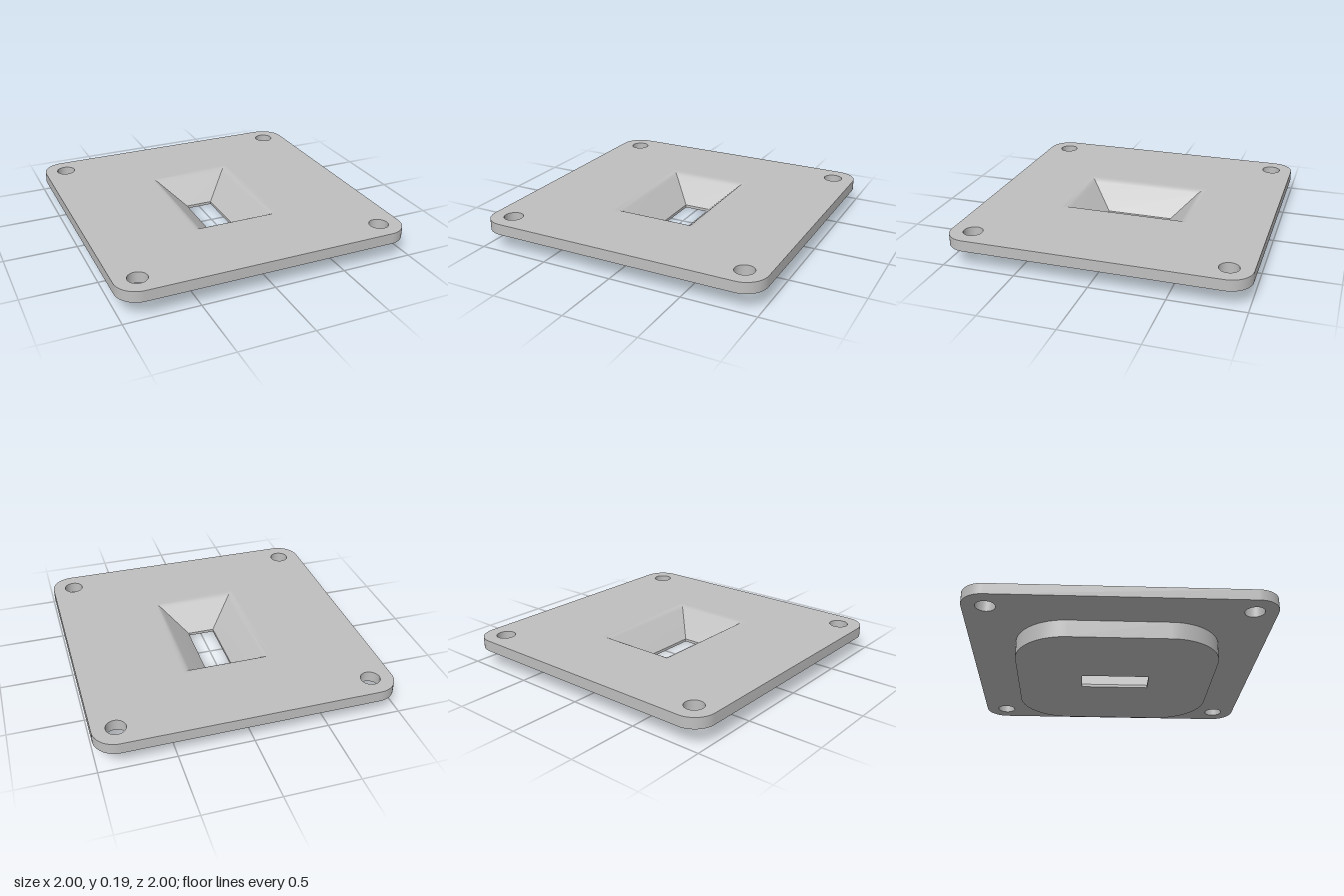
import * as THREE from 'three';
import { toCreasedNormals } from 'three/addons/utils/BufferGeometryUtils.js';

const BOSS_TOP = 0.12, PLATE_TOP = 0.195;

// Counter-clockwise outline of a rectangle with rounded corners
function roundedRect(hw, hd, r = 0, n = 12) {
  const pts = [], steps = r > 0 ? n : 0;
  const signs = [[1, 1], [-1, 1], [-1, -1], [1, -1]];
  signs.forEach(([sx, sy], q) => {
    for (let i = 0; i <= steps; i++) {
      const a = (q + (steps ? i / steps : 0)) * Math.PI / 2;
      pts.push(new THREE.Vector2(sx * (hw - r) + r * Math.cos(a), sy * (hd - r) + r * Math.sin(a)));
    }
  });
  return pts;
}

function circle(cx, cy, r, n = 32) {
  return Array.from({ length: n }, (_, i) => {
    const a = i / n * Math.PI * 2;
    return new THREE.Vector2(cx + r * Math.cos(a), cy + r * Math.sin(a));
  });
}

// Band of quads through stacked outlines: rising faces outward, falling faces inward
function wall(sections) {
  const pos = [];
  const at = (s, i) => {
    const p = s.outline[i % s.outline.length];
    return [p.x, s.y, -p.y];
  };
  for (let k = 0; k + 1 < sections.length; k++) {
    const s = sections[k], t = sections[k + 1];
    for (let i = 0; i < s.outline.length; i++) {
      pos.push(...at(s, i), ...at(s, i + 1), ...at(t, i + 1));
      pos.push(...at(s, i), ...at(t, i + 1), ...at(t, i));
    }
  }
  const g = new THREE.BufferGeometry();
  g.setAttribute('position', new THREE.Float32BufferAttribute(pos, 3));
  return toCreasedNormals(g, Math.PI / 6);
}

// Flat horizontal face with holes, facing up or down
function face(outline, holes, y, up) {
  const shape = new THREE.Shape(outline);
  shape.holes = holes.map(h => new THREE.Path(h));
  return new THREE.ShapeGeometry(shape).rotateX(up ? -Math.PI / 2 : Math.PI / 2).translate(0, y, 0);
}

export function createModel() {
  const group = new THREE.Group();
  const grey = new THREE.MeshStandardMaterial({ color: 0xbfbfbf });
  grey.name = 'light grey';
  const add = (name, geometry) => {
    const mesh = new THREE.Mesh(geometry, grey);
    mesh.name = name;
    group.add(mesh);
  };

  const plate = roundedRect(1, 1, 0.15);
  const boss = roundedRect(0.69, 0.69, 0.35, 20);
  const screwHoles = [];
  for (const x of [-0.847, 0.847])
    for (const z of [-0.847, 0.847]) screwHoles.push(circle(x, z, 0.065));

  // Funnel: rounded lip, sloping sides, short straight throat
  const opening = (offset, y) => ({ outline: roundedRect(0.095 + offset, 0.236 + offset), y });
  const land = 0.02, run = 0.185, blend = 0.03;
  const slope = new THREE.Vector2(-run, land - PLATE_TOP).normalize();
  const lip = new THREE.QuadraticBezierCurve(
    new THREE.Vector2(run + blend, PLATE_TOP),
    new THREE.Vector2(run, PLATE_TOP),
    new THREE.Vector2(run + slope.x * blend, PLATE_TOP + slope.y * blend)
  );
  const funnel = lip.getPoints(6).map(p => opening(p.x, p.y));
  funnel.push(opening(0, land), opening(0, 0));

  // Mounting plate
  add('plateTop', face(plate, [...screwHoles, funnel[0].outline], PLATE_TOP, true));
  add('plateUnderside', face(plate, [...screwHoles, boss], BOSS_TOP, false));
  add('plateEdge', wall([{ outline: plate, y: BOSS_TOP }, { outline: plate, y: PLATE_TOP }]));
  for (const outline of screwHoles)
    add('screwHole', wall([{ outline, y: PLATE_TOP }, { outline, y: BOSS_TOP }]));

  // Raised boss below the plate
  add('bossEdge', wall([{ outline: boss, y: 0 }, { outline: boss, y: BOSS_TOP }]));
  add('bossUnderside', face(boss, [funnel.at(-1).outline], 0, false));

  // Tapered rectangular opening through both
  add('funnel', wall(funnel));
  return group;
}
